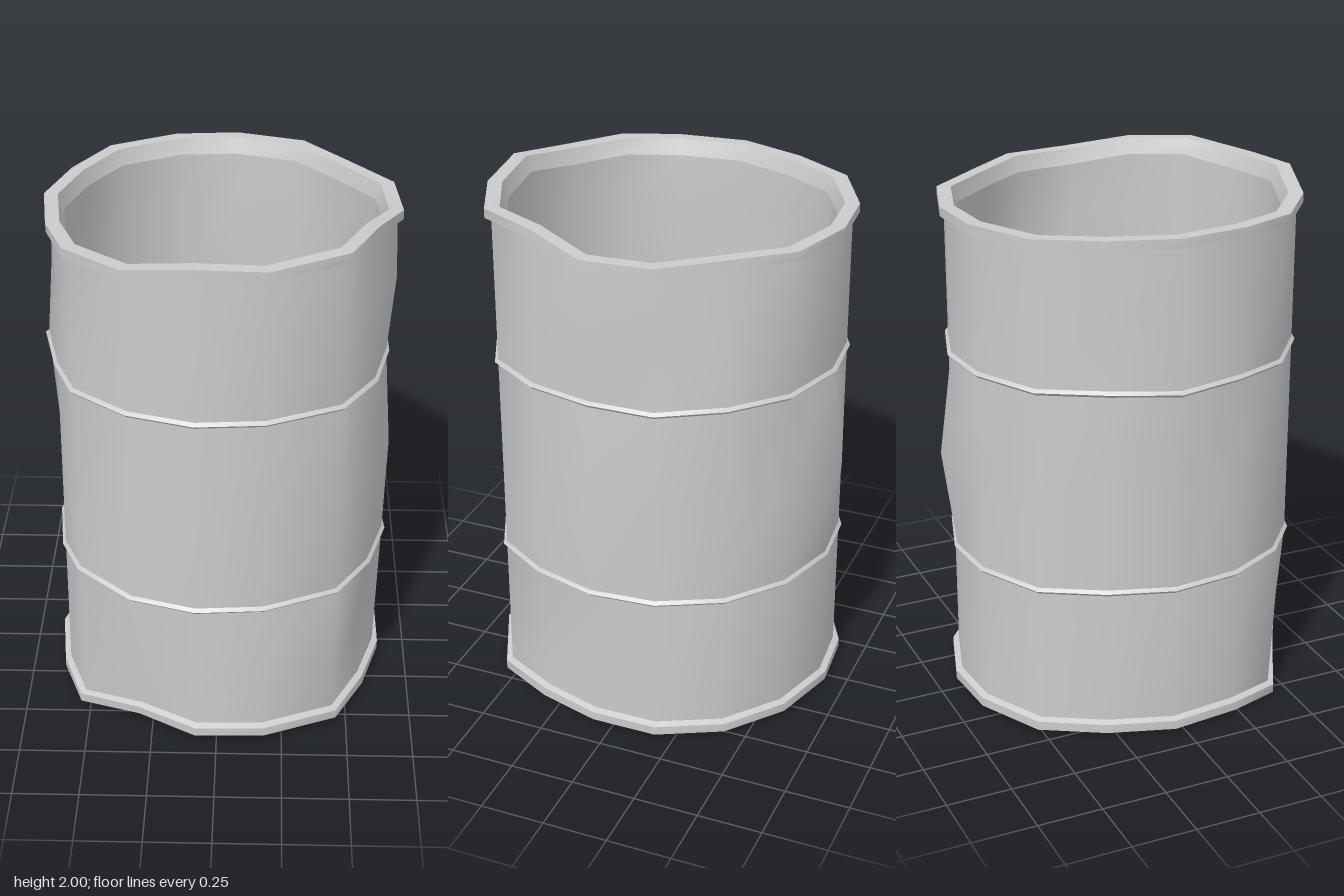
import * as THREE from 'three';

// Rim outline (x, z) of the battered sixteen-sided drum
const OUTLINE = [
  [0.66, 0.08], [0.59, 0.33], [0.46, 0.54], [0.18, 0.67], [-0.08, 0.69], [-0.33, 0.61],
  [-0.54, 0.44], [-0.62, 0.23], [-0.65, -0.04], [-0.57, -0.29], [-0.44, -0.52],
  [-0.19, -0.65], [0.05, -0.67], [0.31, -0.59], [0.52, -0.42], [0.64, -0.18],
];
const N = OUTLINE.length;

// Dents and bulges: side, height, reach up and down, radial push
const DENTS = [
  [14, 1.96, 0.57, -0.055], [1, 1.96, 0.57, -0.03], [1, 0.3, 0.3, -0.04], [1, 0, 0.3, -0.02],
  [0, 1.7, 0.3, 0.012], [0, 1, 0.39, 0.012], [0, 0, 0.6, -0.02], [0, 1.39, 0.3, -0.015],
  [12, 1, 0.4, 0.055], [8, 1.39, 0.39, 0.03], [7, 1.7, 0.3, -0.015], [5, 0, 0.5, -0.06],
];

// Vertical waviness: side, height, lift
const LIFTS = [
  [1, 1.96, 0.04], [2, 1.96, 0.04], [3, 1.96, 0.025], [4, 1.96, 0.04],
  [3, 0.04, 0.01], [4, 0.04, 0.02], [5, 0.04, 0.02], [6, 0.04, -0.015],
  [6, 0.6, 0.02], [14, 1.39, 0.01],
];

function point(i, scale, y) {
  const [x, z] = OUTLINE[i];
  const r = Math.hypot(x, z);
  let push = 0, lift = 0;
  for (const [side, h, reach, d] of DENTS)
    if (side === i) push += d * Math.max(0, 1 - Math.abs(y - h) / reach);
  for (const [side, h, d] of LIFTS)
    if (side === i && Math.abs(y - h) < 0.09) lift += d;
  const k = scale * (r + push) / r;
  return [x * k, y + lift * (scale > 0 ? 1 : 0), z * k];
}

// Closed band through rings of [scale, height], smooth within the band
function band(rings) {
  const positions = [], index = [];
  for (const [s, y] of rings)
    for (let i = 0; i < N; i++) positions.push(...point(i, s, y));
  for (let j = 0; j < rings.length - 1; j++)
    for (let i = 0; i < N; i++) {
      const a = j * N + i, b = j * N + (i + 1) % N;
      index.push(a, a + N, b, b, a + N, b + N);
    }
  const g = new THREE.BufferGeometry();
  g.setAttribute('position', new THREE.Float32BufferAttribute(positions, 3));
  g.setIndex(index);
  g.computeVertexNormals();
  return g;
}

export function createModel() {
  const group = new THREE.Group();
  const material = new THREE.MeshStandardMaterial({ color: 0xcccccc });

  // Adds a part as bands that meet in sharp edges
  function part(name, bands) {
    const g = new THREE.Group();
    g.name = name;
    for (const rings of bands) {
      const mesh = new THREE.Mesh(band(rings), material);
      mesh.name = name + 'Surface';
      g.add(mesh);
    }
    group.add(g);
  }

  const BODY = 0.965, BORE = 0.89;

  // Outer and inner walls
  part('outerWall', [[0.05, 0.3, 0.59], [0.61, 1, 1.38], [1.4, 1.7, 1.925]]
    .map(ys => ys.map(y => [BODY, y])));
  part('innerWall', [[1.9, 1.7, 1.39, 1, 0.6, 0.3, 0.07].map(y => [BORE, y])]);

  // Two thin raised hoops
  for (const [name, y] of [['lowerHoop', 0.6], ['upperHoop', 1.39]])
    part(name, [[[BODY, y - 0.012], [0.983, y]], [[0.983, y], [BODY, y + 0.012]]]);

  // Top rim, bevelled into the bore
  part('topRim', [
    [[BODY, 1.92], [1, 1.925]],
    [[1, 1.925], [1, 1.96]],
    [[1, 1.96], [0.92, 1.96]],
    [[0.92, 1.96], [BORE, 1.9]],
  ]);

  // Bottom rim
  part('bottomRim', [
    [[BORE, 0.045], [0.92, 0.015]],
    [[0.92, 0.015], [1, 0.015]],
    [[1, 0.015], [1, 0.05]],
    [[1, 0.05], [BODY, 0.06]],
  ]);

  // Floor, seen from inside and from below
  part('floor', [[[BORE, 0.07], [0, 0.07]], [[0, 0.045], [BORE, 0.045]]]);

  return group;
}
